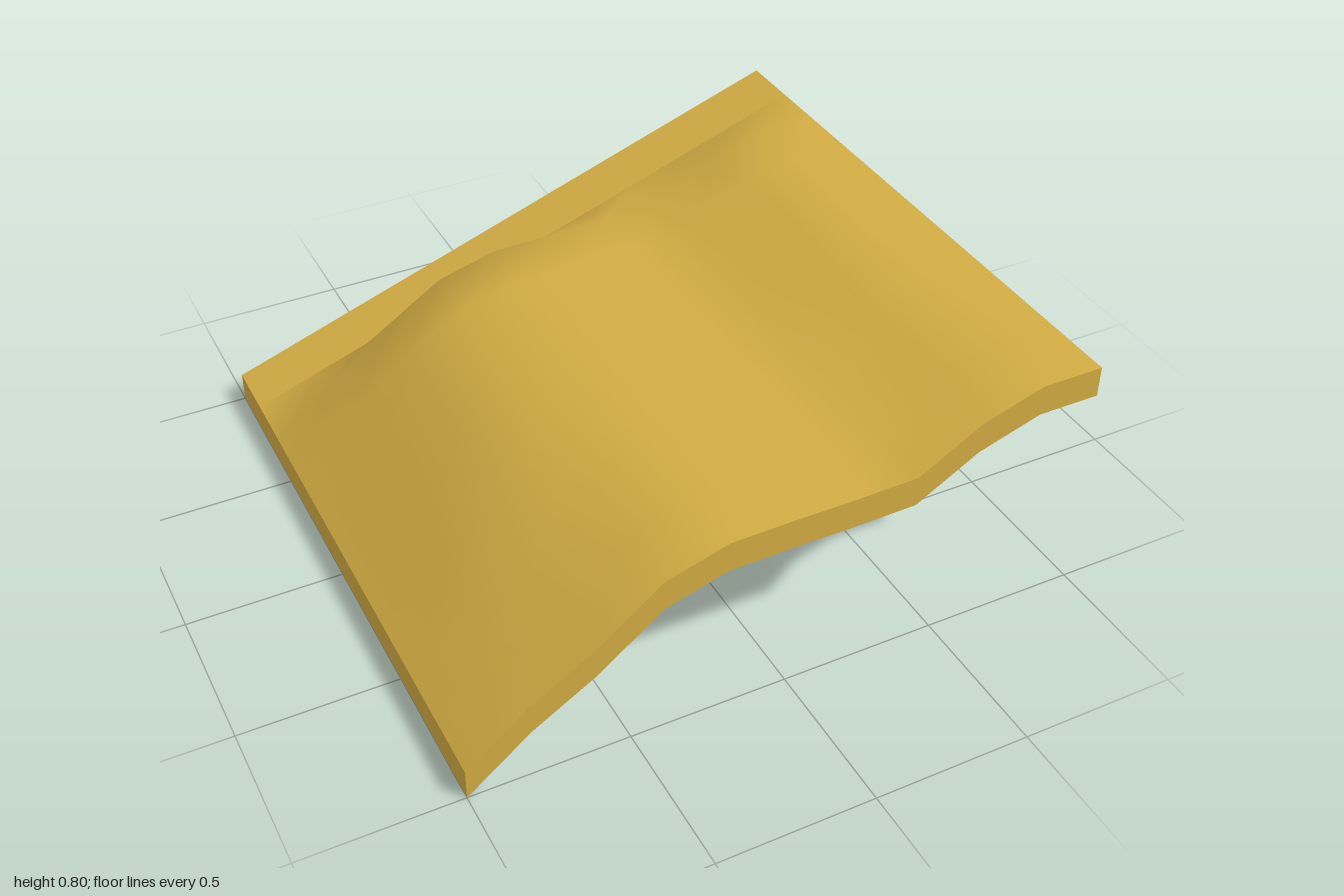
import * as THREE from 'three';

const THICKNESS = 0.1;
const CELL = 0.2;

// Surface height across x (every 0.2) at the front edge, and how far it swells further back
const PROFILE = [0.1, 0.265, 0.39, 0.55, 0.61, 0.613, 0.612, 0.615, 0.735, 0.8, 0.8];
const SWELL = [0, 0, 0.07, 0.014, 0.002, 0.005, 0.012, 0.02, 0.027, 0, 0];
// Strength of the swell along z, from z = -0.6 to z = 1
const ALONG = [0.55, 0.85, 0.95, 1, 1, 0.75, 0.35, 0.1, 0];

const rampHeight = (x) => 0.45 + 0.35 * x;

function terrainHeight(x, z) {
  const row = Math.round((z + 0.6) / CELL);
  if (row < 0) return rampHeight(x);
  const col = Math.round((x + 1) / CELL);
  return PROFILE[col] + SWELL[col] * ALONG[row];
}

// A box whose top and bottom both follow a height rule; edges between faces stay sharp
function slab(name, z0, z1, height, material) {
  const depth = z1 - z0;
  const geometry = new THREE.BoxGeometry(2, THICKNESS, depth, 10, 1, Math.round(depth / CELL));
  geometry.translate(0, -THICKNESS / 2, (z0 + z1) / 2);
  const p = geometry.attributes.position;
  for (let i = 0; i < p.count; i++) {
    p.setY(i, p.getY(i) + height(p.getX(i), p.getZ(i)));
  }
  geometry.computeVertexNormals();
  const mesh = new THREE.Mesh(geometry, material);
  mesh.name = name;
  return mesh;
}

export function createModel() {
  const group = new THREE.Group();
  group.name = 'terrainTile';
  const material = new THREE.MeshStandardMaterial({ color: 0xd4ae44 });

  // Rolling ground, and the straight ramp strip along the back edge
  group.add(slab('rollingGround', -0.8, 1, terrainHeight, material));
  group.add(slab('backRamp', -1, -0.8, rampHeight, material));
  return group;
}
